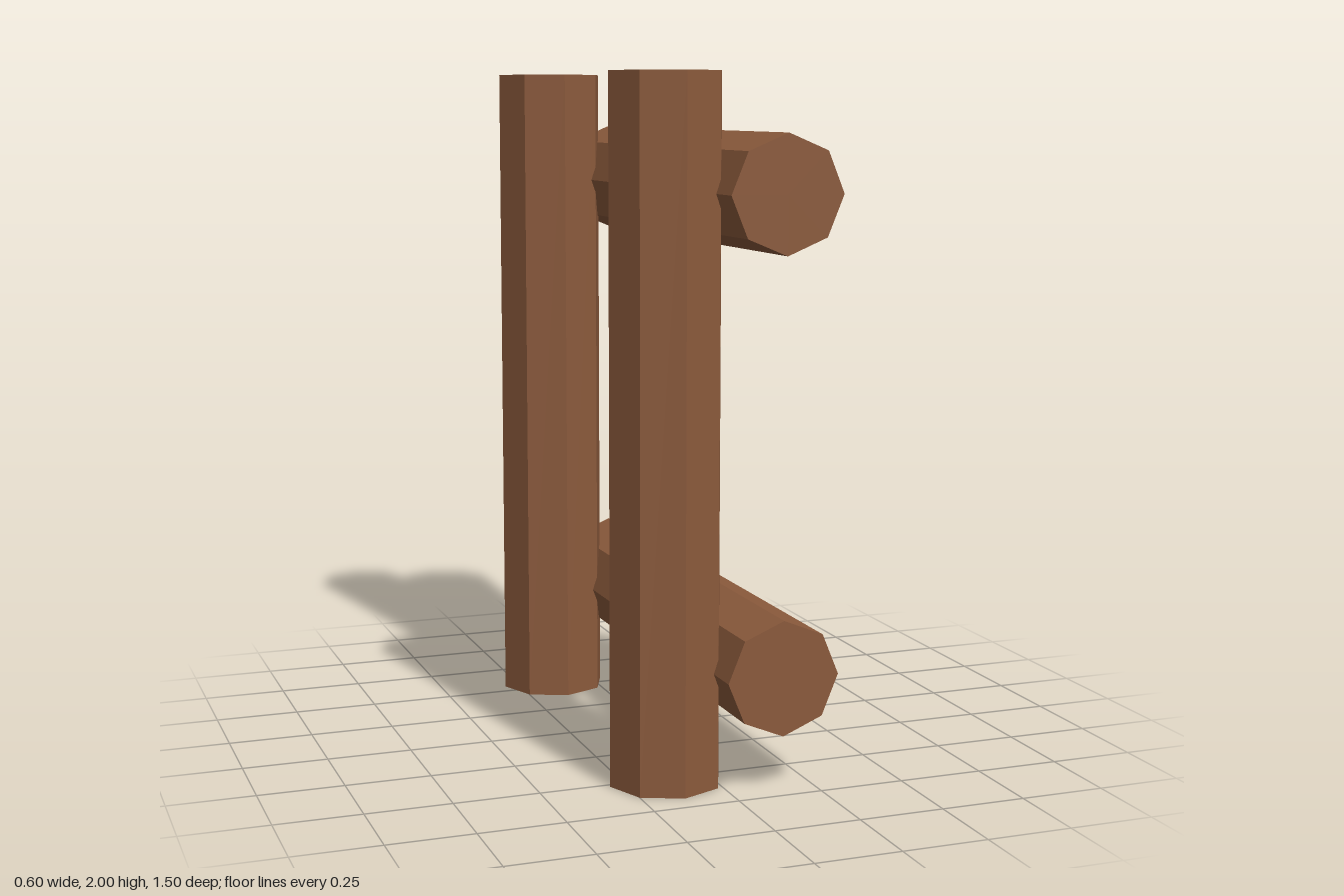
import * as THREE from 'three';

const RADIUS = 0.165;

export function createModel() {
  const model = new THREE.Group();
  model.name = 'logFence';
  const wood = new THREE.MeshStandardMaterial({ color: 0x8b5a3c, flatShading: true });

  // An eight-sided log, upright by default
  const addLog = (name, length, x, y, z) => {
    const log = new THREE.Mesh(new THREE.CylinderGeometry(RADIUS, RADIUS, length, 8), wood);
    log.name = name;
    log.position.set(x, y, z);
    model.add(log);
    return log;
  };

  // Upright posts
  addLog('frontPost', 2, -0.133, 1, 0.516);
  addLog('backPost', 2, -0.133, 1, -0.55);

  // Rails lying along z, sunk slightly into the posts
  addLog('lowerRail', 1.496, 0.132, 0.335, 0).rotation.x = Math.PI / 2;
  addLog('upperRail', 1.496, 0.132, 1.67, 0).rotation.x = Math.PI / 2;

  return model;
}
